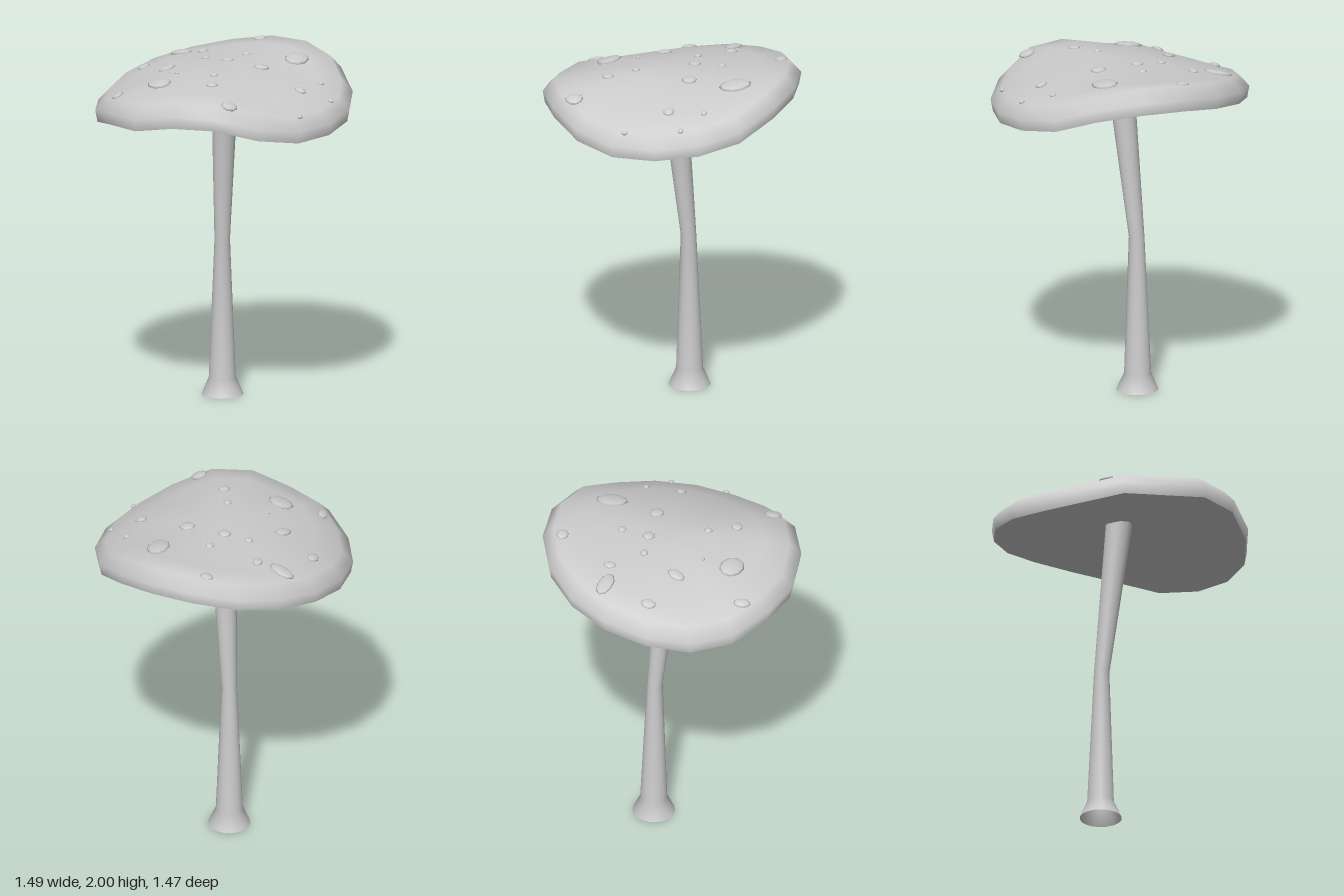
import * as THREE from 'three';
import { mergeVertices } from 'three/addons/utils/BufferGeometryUtils.js';

const SIDES = 18;
const RIM = 0.68; // radius where the dome turns down into the rim
const DOME_TOP = 1.975;
// height of the wavy lower rim every 20 degrees, from +x towards +z
const WAVE = [1.665, 1.66, 1.70, 1.765, 1.765, 1.715, 1.705, 1.66, 1.66,
  1.70, 1.745, 1.785, 1.825, 1.86, 1.86, 1.82, 1.735, 1.69];

function rimHeight(angle) {
  const t = ((angle / (2 * Math.PI)) * SIDES + SIDES) % SIDES;
  const i = Math.floor(t);
  return THREE.MathUtils.lerp(WAVE[i % SIDES], WAVE[(i + 1) % SIDES], t - i);
}

// height of the cap's upper surface
function capHeight(r, angle) {
  const edge = rimHeight(angle) + 0.14;
  if (r > RIM) return edge - 0.07 * (r - RIM) / 0.065;
  return DOME_TOP + (edge - DOME_TOP) * (r / RIM) ** 2;
}

// smooth skin over closed rings; point(ring, angle) returns [x, y, z]
function loft(rings, sides, point) {
  const pos = [], index = [];
  rings.forEach((ring, i) => {
    for (let j = 0; j < sides; j++) {
      pos.push(...point(ring, (j / sides) * 2 * Math.PI));
      if (i === rings.length - 1) continue;
      const a = i * sides + j, b = i * sides + (j + 1) % sides;
      index.push(a, b, a + sides, b, b + sides, a + sides);
    }
  });
  let geo = new THREE.BufferGeometry();
  geo.setAttribute('position', new THREE.Float32BufferAttribute(pos, 3));
  geo.setIndex(index);
  geo = mergeVertices(geo, 1e-5);
  geo.computeVertexNormals();
  return geo;
}

export function createModel() {
  const group = new THREE.Group();
  const material = new THREE.MeshStandardMaterial({ color: 0xcccccc });
  const openMaterial = new THREE.MeshStandardMaterial({ color: 0xcccccc, side: THREE.DoubleSide });
  const add = (name, geometry, mat = material) => {
    const mesh = new THREE.Mesh(geometry, mat);
    mesh.name = name;
    group.add(mesh);
    return mesh;
  };

  // cap: dome and rolled rim
  const polar = (r, a, y) => [r * Math.cos(a), y, r * Math.sin(a)];
  add('cap', loft([0, 0.18, 0.36, 0.54, RIM, 0.745, 'lip'], SIDES, (r, a) =>
    r === 'lip' ? polar(0.732, a, rimHeight(a)) : polar(r, a, capHeight(r, a))));

  // underside: hollow cone from the lip up to the stem
  add('capUnderside', loft([0.732, 0], SIDES, (r, a) => polar(r, a, r ? rimHeight(a) : 1.85)));

  // stem: bent tube with a flared, open foot; [x, y, z, radius]
  const stemRings = [
    [0, 1.86, -0.008, 0.078],
    [-0.071, 0.92, -0.086, 0.045],
    [-0.075, 0.1, -0.092, 0.078],
    [-0.073, 0, -0.092, 0.122],
  ];
  add('stem', loft(stemRings, SIDES, ([x, y, z, r], a) =>
    [x + r * Math.cos(a), y, z + r * Math.sin(a)]), openMaterial);

  // spots: flat warts lying on the cap; [x, z, half width, half depth, turn]
  const spots = [
    [-0.165, -0.61, 0.04, 0.036, 0], [0.235, -0.4, 0.068, 0.095, 0.3],
    [-0.495, -0.29, 0.085, 0.045, -0.25], [-0.345, -0.295, 0.028, 0.037, 0],
    [-0.037, -0.285, 0.026, 0.025, 0], [0.5, -0.255, 0.02, 0.019, 0],
    [0.65, -0.14, 0.017, 0.017, 0], [-0.21, -0.12, 0.025, 0.023, 0],
    [-0.06, -0.125, 0.038, 0.036, 0], [0.175, -0.125, 0.046, 0.044, 0],
    [0.5, -0.05, 0.035, 0.032, 0], [-0.57, -0.02, 0.033, 0.044, 0],
    [-0.333, 0.093, 0.034, 0.056, -0.4], [-0.177, 0.22, 0.011, 0.011, 0],
    [0.067, 0.2, 0.024, 0.024, 0], [0.655, 0.185, 0.014, 0.018, 0],
    [-0.185, 0.39, 0.084, 0.066, -0.5], [0.155, 0.35, 0.035, 0.034, 0],
    [-0.403, 0.495, 0.03, 0.05, 0.2], [0.387, 0.515, 0.048, 0.052, 0],
  ];
  const heightAt = (x, z) => capHeight(Math.hypot(x, z), Math.atan2(z, x));
  const up = new THREE.Vector3(0, 1, 0);
  const wart = new THREE.SphereGeometry(1, 9, 6);
  for (const [x, z, w, d, turn] of spots) {
    const e = 0.03;
    const normal = new THREE.Vector3(
      heightAt(x - e, z) - heightAt(x + e, z), 2 * e,
      heightAt(x, z - e) - heightAt(x, z + e)).normalize();
    const spot = add('spot', wart);
    spot.position.set(x, heightAt(x, z), z);
    spot.scale.set(w, 0.01 + 0.12 * Math.min(w, d), d);
    spot.quaternion.setFromUnitVectors(up, normal)
      .multiply(new THREE.Quaternion().setFromAxisAngle(up, turn));
  }
  return group;
}
